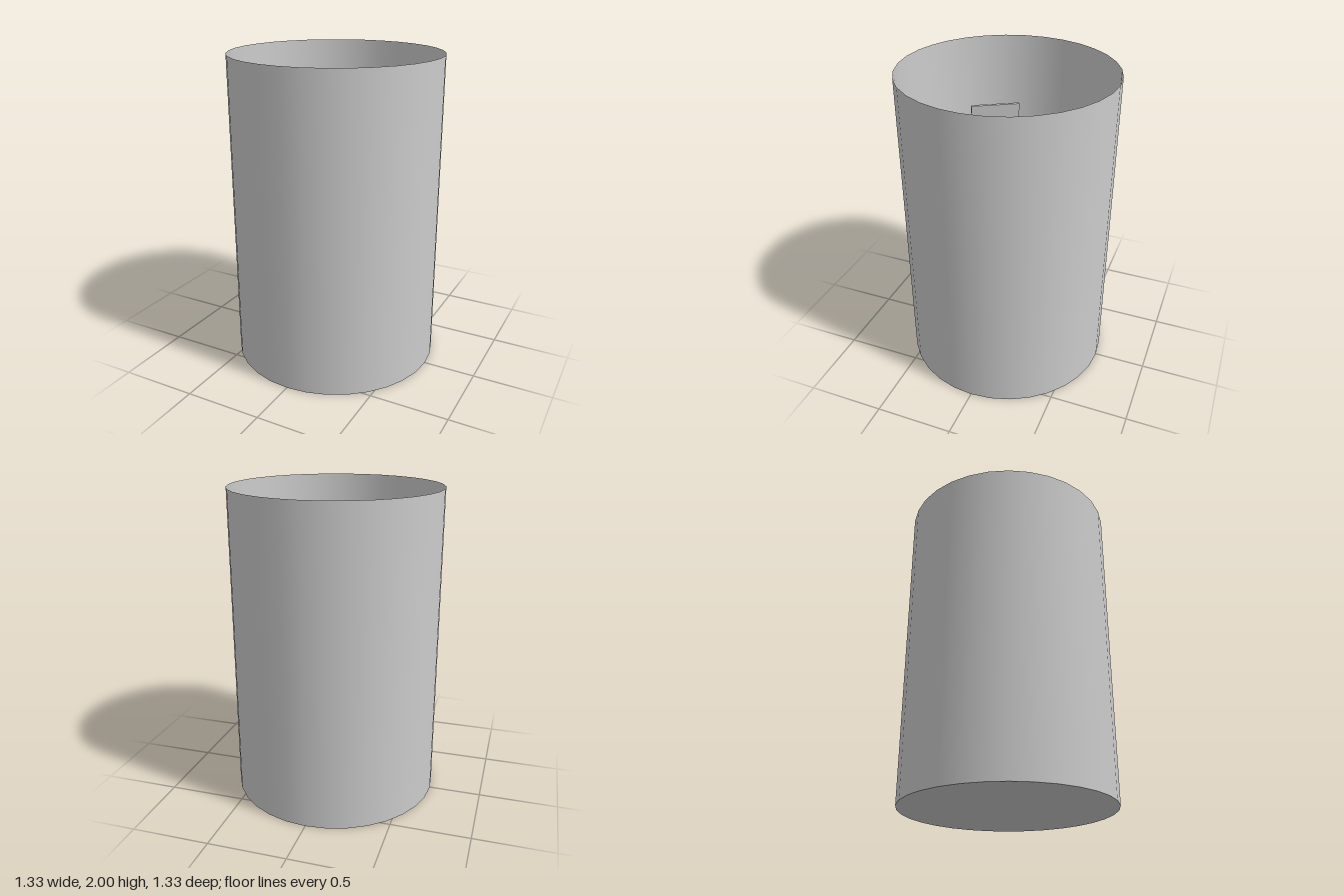
import * as THREE from 'three';

const RADIUS = 0.667;
const HEIGHT = 2;
const SIDES = 32;

export function createModel() {
  const model = new THREE.Group();
  const solid = new THREE.MeshStandardMaterial({ color: 0xcccccc });
  const thin = new THREE.MeshStandardMaterial({ color: 0xcccccc, side: THREE.DoubleSide });

  const add = (name, geometry, material, parent = model) => {
    const mesh = new THREE.Mesh(geometry, material);
    mesh.name = name;
    parent.add(mesh);
    return mesh;
  };

  // Thin round wall, open at the top
  const wall = add('wall', new THREE.CylinderGeometry(RADIUS, RADIUS, HEIGHT, SIDES, 1, true), thin);
  wall.position.y = HEIGHT / 2;

  // Flat floor closing the bottom; the turn lines its corners up with the wall
  const floor = add('floor', new THREE.CircleGeometry(RADIUS, SIDES), thin);
  floor.rotation.x = -Math.PI / 2;

  // Low round pedestal of concentric steps
  const pedestal = new THREE.Group();
  pedestal.name = 'pedestal';
  model.add(pedestal);
  const stepHeight = 0.06;
  [0.412, 0.339, 0.227, 0.143].forEach((radius, i) => {
    const step = add('pedestalStep', new THREE.CylinderGeometry(radius, radius, stepHeight, SIDES), solid, pedestal);
    step.position.y = (i + 0.5) * stepHeight;
  });

  // Three square panels by the wall, tilted inward at the top
  const panelGeometry = new THREE.BoxGeometry(0.333, 0.333, 0.0167);
  for (let i = 0; i < 3; i++) {
    const mount = new THREE.Group();
    mount.name = 'panelMount';
    mount.rotation.y = (i * Math.PI * 2) / 3;
    model.add(mount);
    const panel = add('panel', panelGeometry, solid, mount);
    panel.position.set(0, 1.38, -0.592);
    panel.rotation.x = 0.1;
  }

  return model;
}
